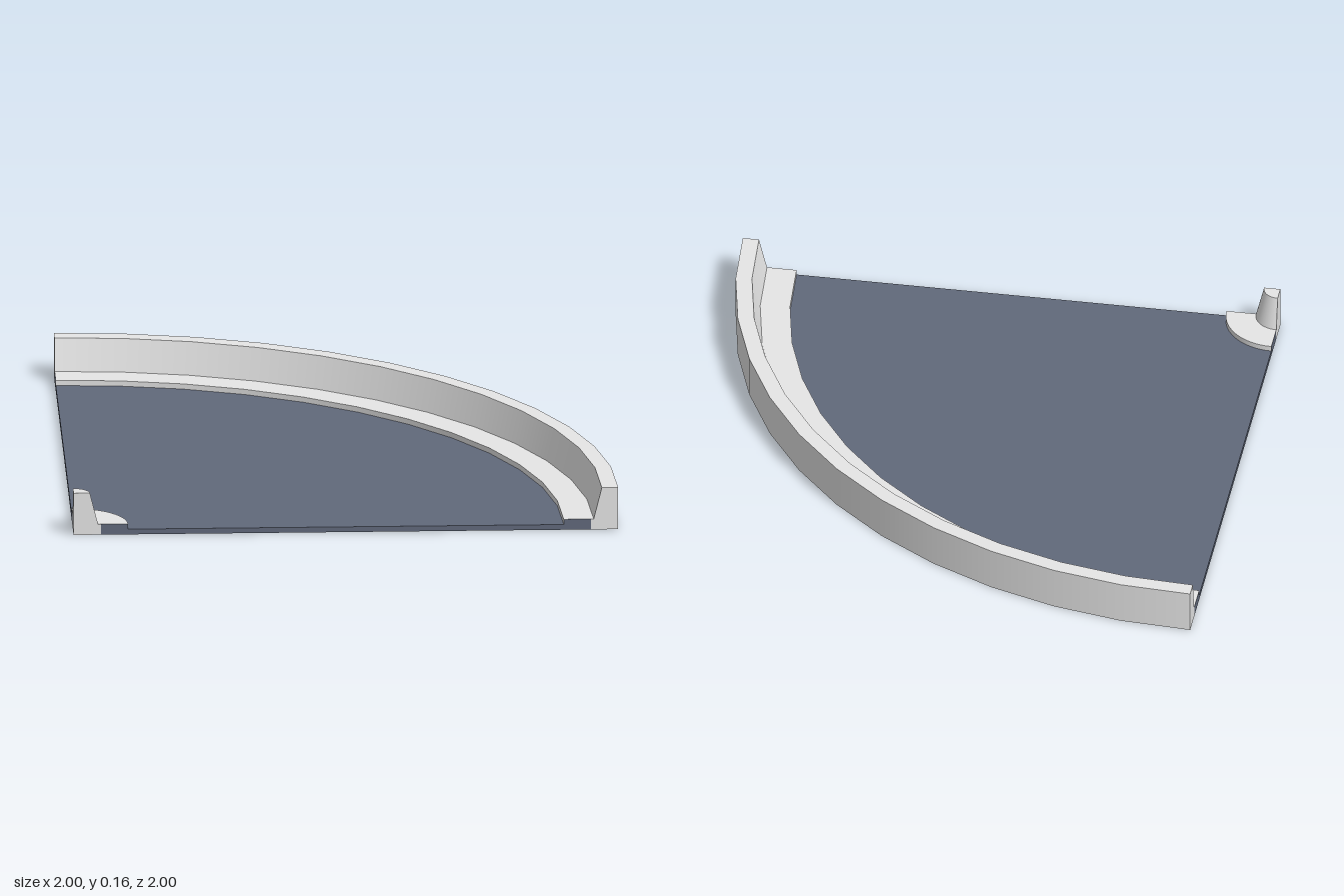
import * as THREE from 'three';

export function createModel() {
  const model = new THREE.Group();
  model.name = 'quarterTurnTrack';
  const concrete = new THREE.MeshStandardMaterial({ color: 0xe6e6e6 });
  concrete.name = 'lightConcrete';
  const asphalt = new THREE.MeshStandardMaterial({ color: 0x61697b });
  asphalt.name = 'blueGreyAsphalt';
  const base = new THREE.MeshStandardMaterial({ color: 0xa9aab9 });
  base.name = 'paleGreyBase';

  // the turn pivots on the front right corner of the tile
  const turn = new THREE.Group();
  turn.name = 'turn';
  turn.position.set(-1, 0, 1);
  model.add(turn);

  function add(name, geometry, material) {
    const mesh = new THREE.Mesh(geometry, material);
    mesh.name = name;
    turn.add(mesh);
    return mesh;
  }

  // sweep each [radius, height] span separately so the edges stay sharp
  function sweep(name, points, material) {
    for (let i = 0; i < points.length - 1; i++) {
      const span = [points[i], points[i + 1]].map(([r, y]) => new THREE.Vector2(r, y));
      add(name, new THREE.LatheGeometry(span, 12, Math.PI / 2, Math.PI / 2), material);
    }
  }

  // flat cut faces on the front and on the right side
  function caps(name, points, material) {
    const shape = (s) => new THREE.Shape(points.map(([r, y]) => new THREE.Vector2(s * r, y)));
    add(name + 'Front', new THREE.ShapeGeometry(shape(1)), material);
    add(name + 'Side', new THREE.ShapeGeometry(shape(-1)), material).rotation.y = -Math.PI / 2;
  }

  // outer barrier with its kerb
  sweep('outerBarrier', [[2, 0], [2, 0.16], [1.94, 0.16], [1.91, 0.04], [1.8, 0.04], [1.8, 0.02]], concrete);
  caps('outerBarrierEnd', [[1.9, 0], [2, 0], [2, 0.16], [1.94, 0.16], [1.91, 0.04], [1.9, 0.04]], concrete);

  // inner corner post with its kerb
  sweep('innerPost', [[0.2, 0.02], [0.2, 0.04], [0.09, 0.04], [0.06, 0.16], [0, 0.16]], concrete);
  caps('innerPostEnd', [[0, 0], [0.1, 0], [0.1, 0.04], [0.09, 0.04], [0.06, 0.16], [0, 0.16]], concrete);

  // road surface, underside and cut ends
  sweep('road', [[1.8, 0.02], [0.2, 0.02]], asphalt);
  sweep('underside', [[0, 0], [2, 0]], base);
  caps('roadEnd', [[0.1, 0], [1.9, 0], [1.9, 0.04], [1.8, 0.04], [1.8, 0.02],
    [0.2, 0.02], [0.2, 0.04], [0.1, 0.04]], asphalt);

  return model;
}
